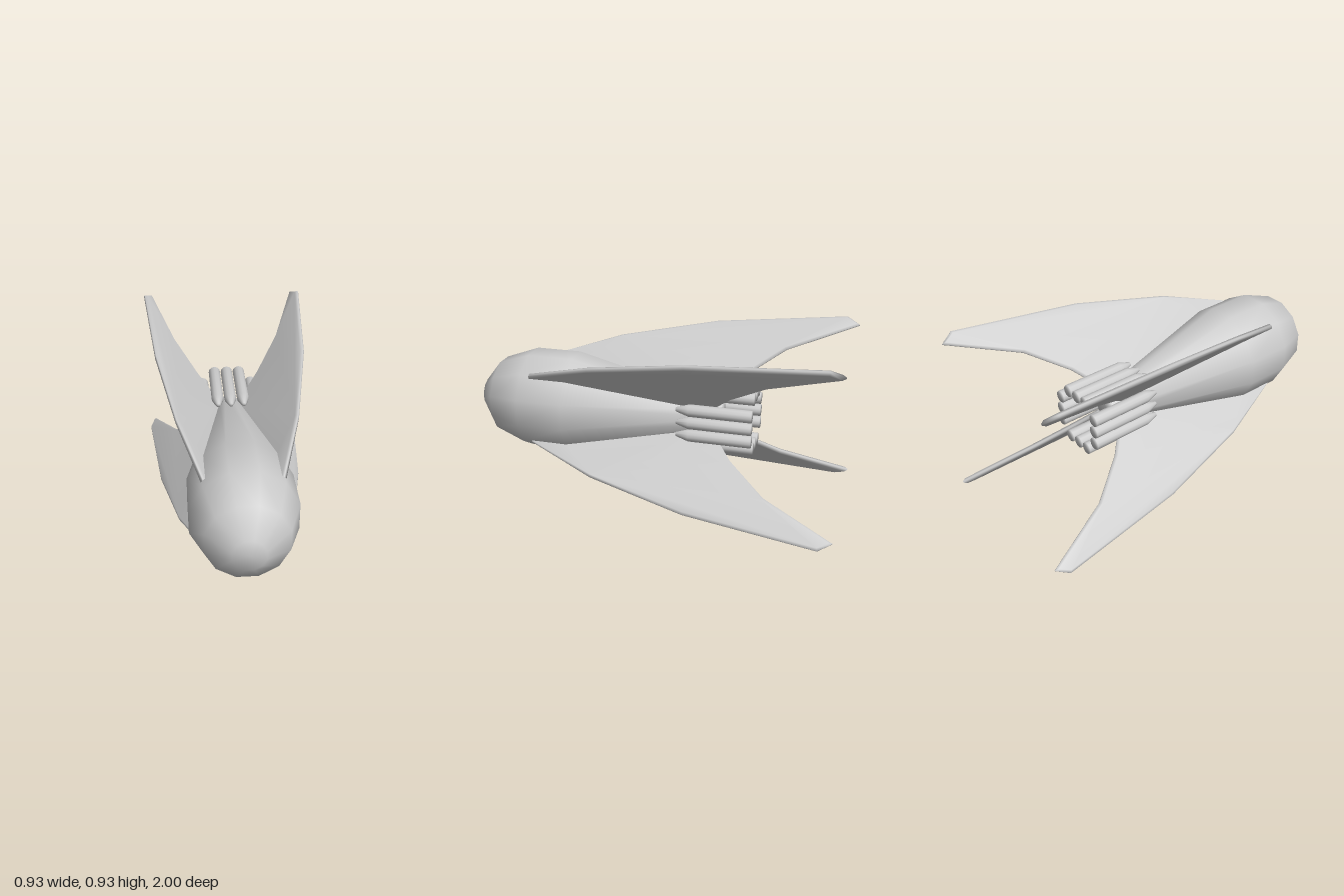
import * as THREE from 'three';
import { mergeVertices } from 'three/addons/utils/BufferGeometryUtils.js';

const grey = new THREE.MeshStandardMaterial({ color: 0xcccccc });

// Lathe turned to lie along z; points are [radius, z] from tail to nose
function turned(points, phiStart = 0) {
  const profile = points.map(([r, z]) => new THREE.Vector2(r, z));
  return new THREE.LatheGeometry(profile, 12, phiStart).rotateX(Math.PI / 2);
}

// Swept fin with bevelled rim and smooth normals, lying in the xz plane
function finGeometry() {
  const outline = [
    [0.26, 0.7], [0.43, 0.3], [0.566, -0.23], [0.655, -0.93], [0.608, -1],
    [0.424, -0.63], [0.247, -0.43], [0.156, -0.36], [0.05, -0.28], [0.1, 0], [0.235, 0.5],
  ].map(([d, z]) => new THREE.Vector2(d, z));
  const geo = new THREE.ExtrudeGeometry(new THREE.Shape(outline.reverse()), {
    depth: 0.008, bevelThickness: 0.011, bevelSize: 0.012, bevelOffset: -0.012, bevelSegments: 1,
  });
  geo.translate(0, 0, -0.004).rotateX(Math.PI / 2);
  geo.deleteAttribute('uv');
  geo.deleteAttribute('normal');
  const smooth = mergeVertices(geo, 1e-4);
  smooth.computeVertexNormals();
  return smooth;
}

export function createModel() {
  const model = new THREE.Group();
  model.name = 'finnedRocket';
  const add = (parent, geo, name) => {
    const mesh = new THREE.Mesh(geo, grey);
    mesh.name = name;
    parent.add(mesh);
    return mesh;
  };

  const craft = new THREE.Group();
  craft.name = 'craft';
  craft.position.y = 0.465;
  model.add(craft);

  // Twelve-sided body tapering to the tail
  add(craft, turned([
    [0, -0.35], [0.078, -0.35], [0.273, 0.47], [0.273, 0.72], [0.208, 0.9], [0.083, 1], [0, 1],
  ], Math.PI / 12), 'body');

  const fin = finGeometry();
  const tube = turned([[0, -0.53], [0.033, -0.53], [0.033, -0.2], [0.011, -0.13], [0, -0.13]]);

  for (let i = 0; i < 4; i++) {
    // Diagonal fins
    add(craft, fin, 'fin').rotation.z = Math.PI / 4 + i * Math.PI / 2;

    // Banks of three thruster tubes between the fins
    const bank = new THREE.Group();
    bank.name = 'thrusterBank';
    bank.rotation.z = i * Math.PI / 2;
    for (const x of [-0.07, 0, 0.07]) add(bank, tube, 'thrusterTube').position.set(x, 0.14, 0);
    craft.add(bank);
  }
  return model;
}
